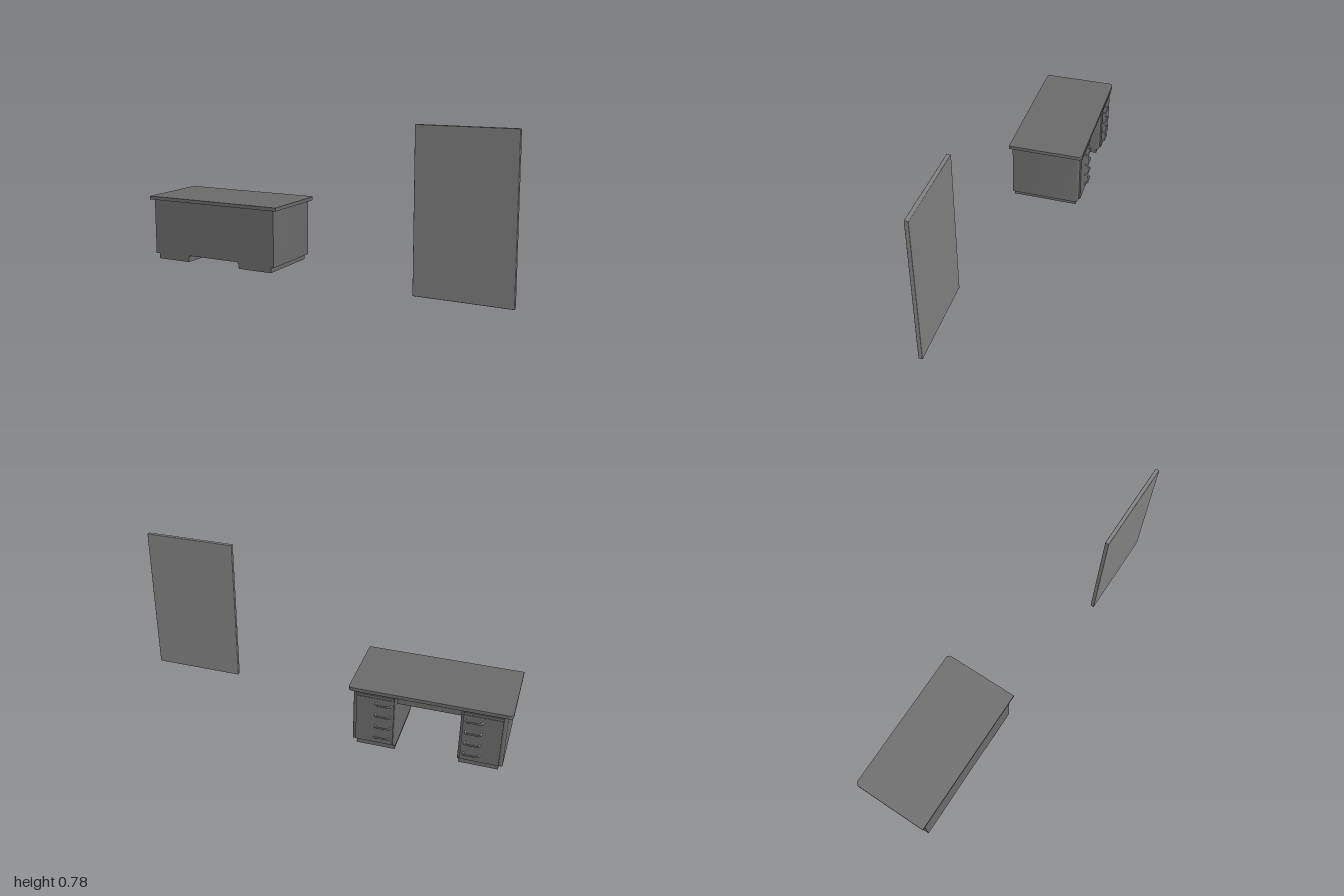
import * as THREE from 'three';
import { toCreasedNormals } from 'three/addons/utils/BufferGeometryUtils.js';
import { RoundedBoxGeometry } from 'three/addons/geometries/RoundedBoxGeometry.js';

const deskMat = new THREE.MeshStandardMaterial({ color: 0x6b6b6b });
const panelMat = new THREE.MeshStandardMaterial({ color: 0x818181 });
const handleMat = new THREE.MeshStandardMaterial({ color: 0x9a9a9a });

function add(parent, name, geometry, material = deskMat) {
  const mesh = new THREE.Mesh(geometry, material);
  mesh.name = name;
  parent.add(mesh);
  return mesh;
}

// Box given by its two opposite corners
function box(parent, name, x0, x1, y0, y1, z0, z1) {
  const mesh = add(parent, name, new THREE.BoxGeometry(x1 - x0, y1 - y0, z1 - z0));
  mesh.position.set((x0 + x1) / 2, (y0 + y1) / 2, (z0 + z1) / 2);
}

// Block whose drawer-side (-z) edges are rounded and whose other end is square
function roundedEndBlock(w, h, d, r) {
  const hw = w / 2, hh = h / 2;
  const shape = new THREE.Shape();
  shape.moveTo(-hw, -hh).lineTo(hw, -hh).lineTo(hw, hh).lineTo(-hw, hh).closePath();
  const geo = new THREE.ExtrudeGeometry(shape, {
    depth: d - r, bevelEnabled: true, bevelSize: r, bevelThickness: r, bevelOffset: -r, bevelSegments: 5,
  });
  const p = geo.attributes.position;
  for (let i = 0; i < p.count; i++) {
    if (p.getZ(i) > d / 2) {
      p.setXYZ(i, Math.sign(p.getX(i)) * hw, Math.sign(p.getY(i)) * hh, d - r);
    }
  }
  return toCreasedNormals(geo, 0.6);
}

// Slim bow pull with a flared foot at each end, pointing to -z
function handle(parent, x, y) {
  const g = new THREE.Group();
  g.name = 'drawerHandle';
  const bow = new THREE.CatmullRomCurve3([
    [-0.037, 0.001], [-0.036, -0.008], [-0.03, -0.0135], [0, -0.0135], [0.03, -0.0135], [0.036, -0.008], [0.037, 0.001],
  ].map(([px, pz]) => new THREE.Vector3(px, 0, pz)));
  add(g, 'handleBow', new THREE.TubeGeometry(bow, 32, 0.0035, 8), handleMat);
  for (const s of [-1, 1]) {
    const foot = add(g, 'handleFoot', new THREE.CylinderGeometry(0.0038, 0.006, 0.006, 12), handleMat);
    foot.rotation.x = -Math.PI / 2;
    foot.position.set(s * 0.037, 0, -0.003);
  }
  g.position.set(x, y, -0.203);
  parent.add(g);
}

function desk() {
  const g = new THREE.Group();
  g.name = 'desk';

  // Top with two rounded corners on the drawer side
  const hw = 0.389, r = 0.02, zf = 0.181, zb = -0.2105;
  const plan = new THREE.Shape();
  plan.moveTo(-hw, -zf).lineTo(hw, -zf).lineTo(hw, -zb - r);
  plan.absarc(hw - r, -zb - r, r, 0, Math.PI / 2);
  plan.absarc(-hw + r, -zb - r, r, Math.PI / 2, Math.PI);
  plan.closePath();
  const top = add(g, 'deskTop', toCreasedNormals(
    new THREE.ExtrudeGeometry(plan, { depth: 0.018, bevelEnabled: false, curveSegments: 8 }), 0.6));
  top.rotation.x = -Math.PI / 2;
  top.position.y = 0.32;

  // Pedestals, mirrored about the desk centre
  for (const s of [-1, 1]) {
    const ped = new THREE.Group();
    ped.name = s > 0 ? 'leftPedestal' : 'rightPedestal';
    g.add(ped);
    const span = (name, a, b, ...rest) => box(ped, name, Math.min(s * a, s * b), Math.max(s * a, s * b), ...rest);

    const body = add(ped, 'pedestalBody', roundedEndBlock(0.216, 0.304, 0.362, 0.013));
    body.position.set(s * 0.259, 0.1805, -0.182);
    span('plinth', 0.156, 0.348, 0, 0.03, -0.178, 0.163);

    // Drawer fronts fit tightly above one another
    span('drawerFronts', 0.164, 0.349, 0.04, 0.295, -0.203, -0.19);
    for (const y of [0.077, 0.137, 0.201, 0.265]) handle(ped, s * 0.216, y);

    // Pull-out writing board above the drawers
    span('pullOutBoard', 0.164, 0.349, 0.3, 0.313, -0.208, -0.19);
  }

  // Knee space: closing panel, centre drawer and its lock
  box(g, 'modestyPanel', -0.153, 0.153, 0.035, 0.322, 0.153, 0.167);
  box(g, 'centreDrawer', -0.153, 0.153, 0.278, 0.322, -0.188, 0.155);
  const lock = add(g, 'drawerLock', new THREE.CylinderGeometry(0.004, 0.004, 0.004, 16), handleMat);
  lock.rotation.x = Math.PI / 2;
  lock.position.set(0, 0.3, -0.189);

  g.position.x = -0.611;
  return g;
}

export function createModel() {
  const model = new THREE.Group();
  model.name = 'deskAndPanel';
  model.add(desk());
  // Free-standing upright panel with softened edges
  const panel = add(model, 'standingPanel', new RoundedBoxGeometry(0.475, 0.782, 0.02, 2, 0.003), panelMat);
  panel.position.set(0.7625, 0.391, 0.21);
  return model;
}
